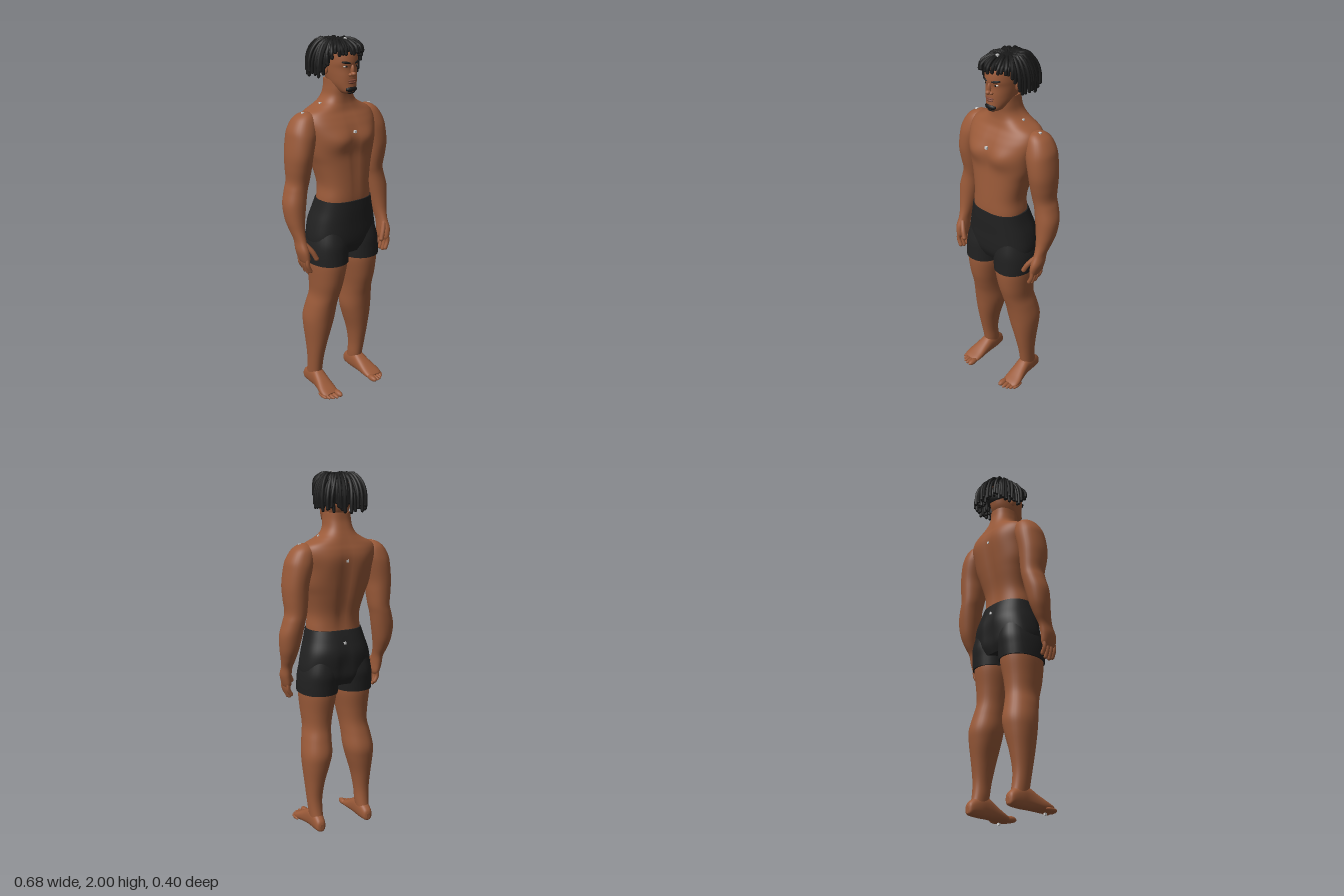
import * as THREE from 'three';
import { mergeGeometries } from 'three/addons/utils/BufferGeometryUtils.js';

const material = (name, color, side = THREE.FrontSide) => {
  const m = new THREE.MeshStandardMaterial({ color, side });
  m.name = name;
  return m;
};

// Smooth value of one column of a table at row position t
function spline(rows, col, t) {
  const last = rows.length - 1;
  const i = Math.min(Math.floor(t), last - 1), f = t - i;
  const at = (k) => rows[Math.max(0, Math.min(last, k))][col];
  const [a, b, c, d] = [at(i - 1), at(i), at(i + 1), at(i + 2)];
  return b + 0.5 * f * (c - a + f * (2 * a - 5 * b + 4 * c - d + f * (3 * (b - c) + d - a)));
}

// Skin over rounded sections; each row is [y, xMin, xMax, zMin, zMax]
function loft(rows, { n = 2.2, sides = 32, steps = 5, sculpt } = {}) {
  const pos = [], index = [], count = (rows.length - 1) * steps;
  const bend = (v) => Math.sign(v) * Math.abs(v) ** (2 / n);
  for (let j = 0; j <= count; j++) {
    const [y, x0, x1, z0, z1] = [0, 1, 2, 3, 4].map((c) => spline(rows, c, j / steps));
    for (let i = 0; i < sides; i++) {
      const a = (i / sides) * Math.PI * 2;
      const p = new THREE.Vector3(
        (x0 + x1) / 2 + bend(Math.sin(a)) * (x1 - x0) / 2, y,
        (z0 + z1) / 2 + bend(Math.cos(a)) * (z1 - z0) / 2);
      if (sculpt) sculpt(p);
      pos.push(p.x, p.y, p.z);
      if (j < count) {
        const q = j * sides + i, r = j * sides + (i + 1) % sides;
        index.push(q, r, r + sides, q, r + sides, q + sides);
      }
    }
  }
  // Flat end caps with their own corners
  for (const j of [0, count]) {
    const start = pos.length / 3, c = [0, 0, 0];
    for (let i = 0; i < sides; i++) {
      for (let k = 0; k < 3; k++) {
        const v = pos[(j * sides + i) * 3 + k];
        pos.push(v);
        c[k] += v / sides;
      }
    }
    pos.push(...c);
    for (let i = 0; i < sides; i++) {
      const q = start + i, r = start + (i + 1) % sides;
      index.push(start + sides, ...(j ? [q, r] : [r, q]));
    }
  }
  const g = new THREE.BufferGeometry();
  g.setAttribute('position', new THREE.Float32BufferAttribute(pos, 3));
  g.setIndex(index);
  g.computeVertexNormals();
  return g;
}

const symmetric = (rows) => rows.map(([y, w, z0, z1]) => [y, -w, w, z0, z1]);

function mirrored(g) {
  const m = g.clone().scale(-1, 1, 1);
  m.setIndex(Array.from(g.index.array).reverse());
  return m;
}

const blob = (x, y, z, rx, ry, rz, turn = 0, tilt = 0) =>
  new THREE.SphereGeometry(1, 16, 12).scale(rx, ry, rz).rotateZ(tilt).rotateY(turn).translate(x, y, z);

// Round-ended rod through a list of points
function rod(points, radius, sides = 8, steps = 8) {
  const v = points.map((p) => new THREE.Vector3(...p));
  const tube = new THREE.TubeGeometry(new THREE.CatmullRomCurve3(v), steps, radius, sides);
  const ends = [v[0], v[v.length - 1]].map((p) =>
    new THREE.SphereGeometry(radius, sides, 6).translate(p.x, p.y, p.z));
  return mergeGeometries([tube, ...ends]);
}

export function createModel() {
  const model = new THREE.Group();
  const skin = material('skin', 0x9a5a39);
  const lip = material('lips', 0x7c4432);
  const cloth = material('shorts black', 0x212121);
  const hair = material('hair black', 0x191919, THREE.DoubleSide);
  const white = material('eye white', 0xd8d2ca);
  const grey = material('marker grey', 0xd0d0d0);
  const add = (name, g, m) => {
    const mesh = new THREE.Mesh(g, m);
    mesh.name = name;
    model.add(mesh);
  };
  const pair = (name, g, m) => {
    add('left' + name, g, m);
    add('right' + name, mirrored(g), m);
  };
  const bump = (v, centre, width) => Math.exp(-(((v - centre) / width) ** 2));

  // Torso and neck, with chest muscles, breastbone and spine grooves
  add('torso', loft(symmetric([
    [1.1, 0.148, -0.08, 0.148], [1.17, 0.149, -0.07, 0.154], [1.25, 0.143, -0.075, 0.152],
    [1.35, 0.165, -0.1, 0.146], [1.42, 0.187, -0.115, 0.142], [1.5, 0.2, -0.127, 0.143],
    [1.56, 0.212, -0.132, 0.124], [1.6, 0.21, -0.127, 0.102], [1.63, 0.19, -0.117, 0.083],
    [1.657, 0.135, -0.108, 0.074], [1.68, 0.098, -0.1, 0.07], [1.71, 0.077, -0.09, 0.07],
    [1.75, 0.07, -0.08, 0.075], [1.79, 0.068, -0.078, 0.075],
  ]), {
    n: 2.5, sides: 64, steps: 6,
    sculpt: (p) => {
      const x = Math.abs(p.x);
      if (p.z > 0.03) {
        p.z += 0.017 * bump(x, 0.085, 0.065) * bump(p.y, 1.49, 0.055);
        p.z -= 0.006 * bump(x, 0, 0.015) * bump(p.y, 1.4, 0.2);
      } else if (p.z < -0.03) {
        p.z += 0.016 * bump(x, 0, 0.03) * bump(p.y, 1.38, 0.2);
        p.z -= 0.006 * bump(x, 0.1, 0.05) * bump(p.y, 1.53, 0.08);
      }
    },
  }), skin);

  // Arms, shoulder to palm
  pair('Arm', loft([
    [0.855, 0.262, 0.292, 0.025, 0.1], [0.875, 0.256, 0.3, 0.012, 0.107],
    [0.92, 0.257, 0.311, 0.004, 0.102], [0.97, 0.258, 0.311, -0.008, 0.078],
    [1.02, 0.25, 0.322, -0.038, 0.062], [1.08, 0.237, 0.335, -0.065, 0.054],
    [1.16, 0.22, 0.34, -0.082, 0.048], [1.23, 0.207, 0.322, -0.09, 0.043],
    [1.28, 0.196, 0.309, -0.092, 0.047], [1.35, 0.188, 0.314, -0.096, 0.063],
    [1.42, 0.182, 0.316, -0.1, 0.075], [1.5, 0.163, 0.307, -0.104, 0.075],
    [1.55, 0.15, 0.297, -0.1, 0.066], [1.6, 0.15, 0.268, -0.085, 0.047],
    [1.625, 0.165, 0.237, -0.06, 0.026], [1.636, 0.19, 0.21, -0.03, 0],
  ]), skin);
  const fingers = [[0.024, 0.815], [0.047, 0.8], [0.071, 0.797], [0.095, 0.808]].map(([z, tip]) =>
    rod([[0.279, 0.885, z], [0.28, 0.845, z + 0.003], [0.264, tip, z + 0.004]], 0.0115));
  pair('Fingers', mergeGeometries(fingers), skin);
  pair('Thumb', rod([[0.273, 0.95, 0.07], [0.246, 0.91, 0.094], [0.228, 0.872, 0.104]], 0.0135), skin);

  // Legs
  pair('Leg', loft([
    [0.05, 0.118, 0.182, -0.1, 0.01], [0.12, 0.113, 0.187, -0.08, 0.02],
    [0.2, 0.11, 0.193, -0.073, 0.034], [0.3, 0.093, 0.202, -0.085, 0.055],
    [0.4, 0.064, 0.213, -0.102, 0.073], [0.47, 0.048, 0.215, -0.108, 0.084],
    [0.55, 0.045, 0.203, -0.09, 0.1], [0.62, 0.039, 0.19, -0.076, 0.12],
    [0.7, 0.025, 0.195, -0.08, 0.142], [0.8, 0.006, 0.204, -0.094, 0.155],
    [0.87, 0.006, 0.204, -0.094, 0.15],
  ]), skin);

  // Feet, lofted heel to toe, then laid flat
  pair('Foot', loft([
    [-0.115, 0.14, 0.16, -0.065, -0.03], [-0.103, 0.124, 0.178, -0.09, -0.02],
    [-0.05, 0.114, 0.186, -0.125, -0.015], [0, 0.112, 0.19, -0.128, -0.015],
    [0.05, 0.111, 0.2, -0.1, -0.015], [0.1, 0.11, 0.213, -0.07, -0.014],
    [0.135, 0.113, 0.213, -0.052, -0.015], [0.152, 0.122, 0.2, -0.042, -0.02],
  ], { n: 2.4 }).rotateX(Math.PI / 2), skin);
  const toes = [[0.128, 0.198, 0.017], [0.153, 0.196, 0.012], [0.174, 0.188, 0.0115],
    [0.192, 0.175, 0.011], [0.208, 0.158, 0.0105]].map(([x, tip, r]) =>
    blob(x, 0.015 + r, tip - 0.037, r, r, 0.037));
  pair('Toes', mergeGeometries(toes), skin);

  // Shorts: seat and two leg openings
  add('shortsSeat', loft(symmetric([
    [0.865, 0.16, -0.09, 0.13], [0.91, 0.197, -0.108, 0.15], [0.96, 0.205, -0.114, 0.157],
    [1.04, 0.191, -0.118, 0.159], [1.11, 0.17, -0.099, 0.161], [1.165, 0.156, -0.08, 0.161],
  ]), {
    n: 2.4, sides: 48,
    sculpt: (p) => {
      if (p.z < -0.03) p.z += 0.014 * bump(p.x, 0, 0.025) * bump(p.y, 0.99, 0.1);
    },
  }), cloth);
  pair('ShortsLeg', loft([
    [0.815, -0.001, 0.213, -0.102, 0.163], [0.87, -0.004, 0.213, -0.107, 0.161],
    [0.93, -0.004, 0.207, -0.112, 0.157], [1, 0, 0.19, -0.1, 0.14],
  ]), cloth);

  // Head
  add('head', loft(symmetric([
    [1.722, 0.022, 0.05, 0.105], [1.735, 0.042, 0, 0.12], [1.77, 0.062, -0.05, 0.118],
    [1.81, 0.071, -0.078, 0.117], [1.85, 0.076, -0.09, 0.114], [1.885, 0.078, -0.098, 0.12],
    [1.94, 0.075, -0.098, 0.11], [1.968, 0.056, -0.075, 0.08], [1.982, 0.025, -0.04, 0.04],
  ]), { n: 2.15, sides: 40 }), skin);
  add('nose', mergeGeometries([
    blob(0, 1.842, 0.113, 0.01, 0.032, 0.016), blob(0, 1.825, 0.122, 0.013, 0.012, 0.018),
    blob(0.013, 1.821, 0.115, 0.01, 0.009, 0.012), blob(-0.013, 1.821, 0.115, 0.01, 0.009, 0.012),
  ]), skin);
  add('lips', mergeGeometries([
    blob(0, 1.792, 0.114, 0.026, 0.006, 0.011), blob(0, 1.781, 0.114, 0.023, 0.007, 0.011),
  ]), lip);
  pair('Ear', blob(0.078, 1.845, -0.005, 0.01, 0.03, 0.019), skin);
  pair('Eye', blob(0.033, 1.863, 0.101, 0.014, 0.006, 0.008, 0.35), white);
  pair('Pupil', blob(0.032, 1.863, 0.107, 0.006, 0.006, 0.004, 0.35), hair);
  pair('Brow', blob(0.034, 1.882, 0.108, 0.025, 0.0065, 0.009, 0.4, 0.15), hair);
  add('chinBeard', mergeGeometries([
    blob(0, 1.747, 0.108, 0.035, 0.016, 0.018), blob(0, 1.732, 0.1, 0.026, 0.01, 0.02),
  ]), hair);

  // Hair cap, tipped back to clear the forehead
  add('hairCap', new THREE.SphereGeometry(1, 32, 16, 0, Math.PI * 2, 0, Math.PI * 0.55)
    .scale(0.085, 0.098, 0.115).rotateX(-0.42).translate(0, 1.89, -0.008), hair);

  // Twisted locks falling outward from the crown in layers
  let seed = 7;
  const rand = () => (seed = (seed * 16807) % 2147483647) / 2147483647;
  const locks = [];
  for (const [count, spread, lift] of [[42, 1, 0], [34, 0.87, 0.01], [24, 0.72, 0.03]]) {
    for (let i = 0; i < count; i++) {
      const a = ((i + 0.7 * rand()) / count) * Math.PI * 2, c = Math.cos(a);
      const reach = (0.124 + 0.01 * Math.max(0, c) + 0.05 * Math.max(0, -c) ** 1.5) * spread * (0.93 + 0.12 * rand());
      const front = Math.max(0, Math.min(1, (c - 0.15) / 0.6));
      const end = 1.8 + 0.12 * front + lift + 0.03 * rand() * (1 - front / 2);
      const twist = (rand() - 0.5) * 0.4, top = 1.97 + 0.014 * rand();
      const point = (k, y, turn) =>
        [Math.sin(a + turn) * reach * k, y, -0.012 + Math.cos(a + turn) * reach * k];
      locks.push(rod([
        point(0.25, 1.975, twist), point(0.55, top + 0.004, twist * 0.7),
        point(0.84, end + (top - end) * 0.76, twist * 0.4),
        point(0.98, end + (top - end) * 0.4, twist * 0.15), point(1, end, 0),
      ], 0.0082 + 0.0015 * rand(), 7, 10));
    }
  }
  add('locks', mergeGeometries(locks), hair);

  // Small marker cubes on the body
  const cubes = [[0, 1.992, 0.057], [0, 1.533, 0.143], [0, 1.545, -0.122], [0, 1.1, -0.1],
    [0.22, 1.63, -0.012], [-0.22, 1.63, -0.012], [0.11, 1.668, -0.01], [-0.11, 1.668, -0.01],
    [0.17, 0.007, 0.115], [-0.17, 0.007, 0.115]];
  add('markers', mergeGeometries(cubes.map((p) =>
    new THREE.BoxGeometry(0.013, 0.013, 0.013).translate(...p))), grey);
  return model;
}
